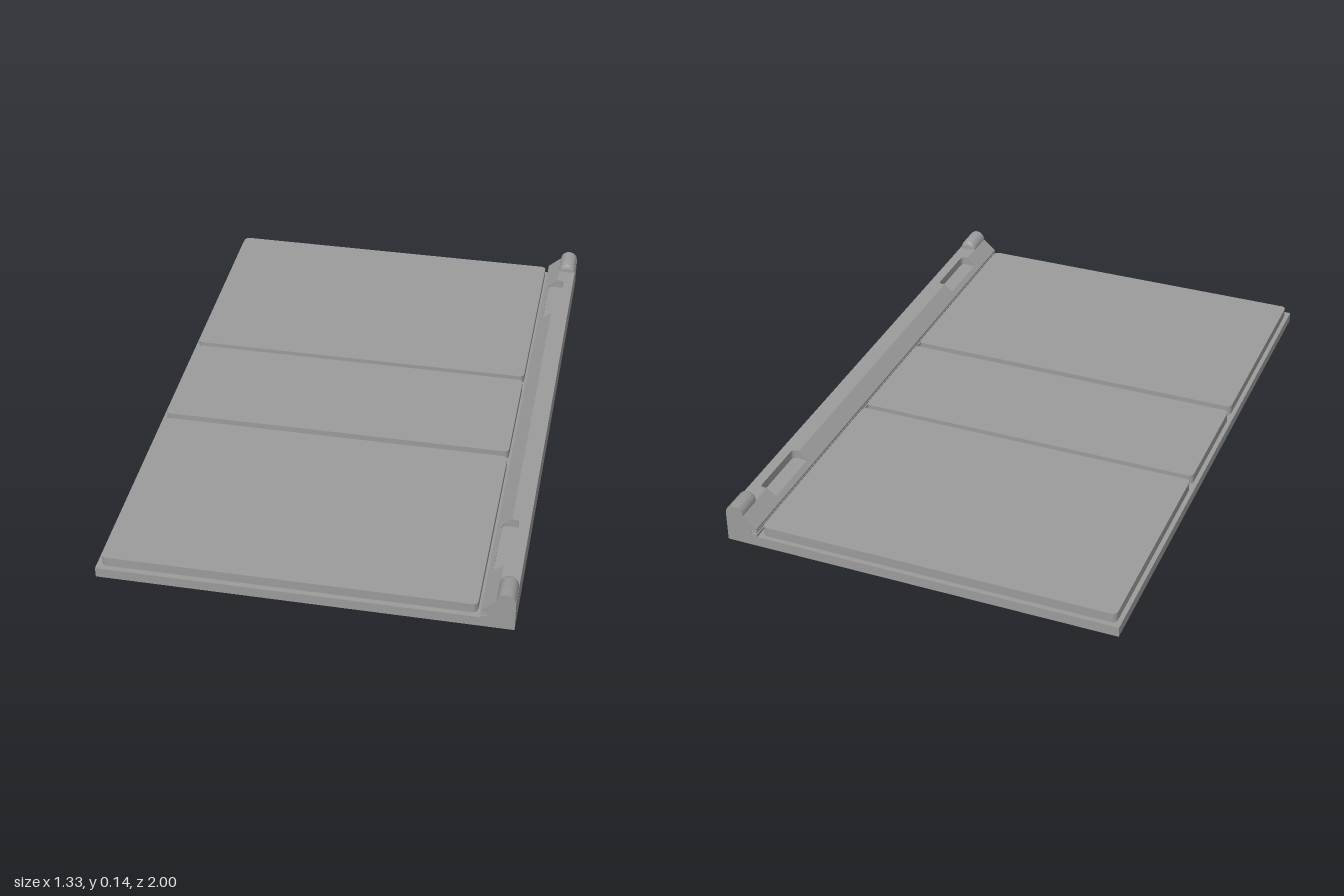
import * as THREE from 'three';
import { toCreasedNormals } from 'three/addons/utils/BufferGeometryUtils.js';

const FLOOR = 0.062, EDGE = 0.607, FRONT = 0.56, BACK = 0.667, RIDGE = 0.107;
const POCKET_FRONT = 0.576, POCKET_BACK = 0.631;
const material = new THREE.MeshStandardMaterial({ color: 0x9b9b9b });

function add(group, name, geometry) {
  const mesh = new THREE.Mesh(toCreasedNormals(geometry, 0.6), material);
  mesh.name = name;
  group.add(mesh);
}

// Extrudes a plan drawn in (x, -z) upward from y0
function extrudeUp(shape, y0, height) {
  return new THREE.ExtrudeGeometry(shape, { depth: height, bevelEnabled: false, curveSegments: 6 })
    .rotateX(-Math.PI / 2).translate(0, y0, 0);
}

function roundedRect(x0, x1, z0, z1, r) {
  const s = new THREE.Shape();
  s.absarc(x1 - r, -z0 - r, r, 0, Math.PI / 2);
  s.absarc(x0 + r, -z0 - r, r, Math.PI / 2, Math.PI);
  s.absarc(x0 + r, -z1 + r, r, Math.PI, Math.PI * 1.5);
  s.absarc(x1 - r, -z1 + r, r, Math.PI * 1.5, Math.PI * 2);
  s.closePath();
  return s;
}

// Plan of one half of the rail, with rounded notches opening onto the ridge edge
function railPlan(outerX, pocketX, pockets) {
  const s = new THREE.Shape(), dir = Math.sign(pocketX - EDGE), r = 0.014;
  s.moveTo(outerX, -1);
  s.lineTo(EDGE, -1);
  for (const [a, b] of pockets) {
    s.lineTo(EDGE, a);
    s.lineTo(pocketX - dir * r, a);
    s.quadraticCurveTo(pocketX, a, pocketX, a + r);
    s.lineTo(pocketX, b - r);
    s.quadraticCurveTo(pocketX, b, pocketX - dir * r, b);
    s.lineTo(EDGE, b);
  }
  s.lineTo(EDGE, 1);
  s.lineTo(outerX, 1);
  s.closePath();
  return s;
}

export function createModel() {
  const model = new THREE.Group();

  // Base plate and lower rail with the groove under its lip
  const profile = new THREE.Shape([
    [-0.667, 0], [BACK, 0], [BACK, FLOOR], [FRONT, FLOOR], [FRONT, 0.059], [0.58, 0.059],
    [0.58, 0.056], [FRONT, 0.056], [FRONT, 0.05], [0.58, 0.05], [0.58, 0.044],
    [FRONT, 0.044], [FRONT, 0.035], [-0.667, 0.035],
  ].map(p => new THREE.Vector2(...p)));
  add(model, 'basePlate',
    new THREE.ExtrudeGeometry(profile, { depth: 2, bevelEnabled: false }).translate(0, 0, -1));

  // Three raised panels
  for (const [z0, z1] of [[-0.984, -0.237], [-0.216, 0.208], [0.234, 0.982]]) {
    add(model, 'panel', extrudeUp(roundedRect(-0.652, 0.549, z0, z1, 0.018), 0.035, 0.033));
  }

  // Upper rail: sloped front half and flat back half, with two pockets
  const pockets = [[-0.832, -0.605], [0.61, 0.836]];
  const slope = extrudeUp(railPlan(FRONT, POCKET_FRONT, pockets), FLOOR, 0.04);
  const pos = slope.attributes.position;
  for (let i = 0; i < pos.count; i++) {
    if (pos.getY(i) > FLOOR + 0.01) {
      const t = (pos.getX(i) - FRONT) / (EDGE - FRONT);
      pos.setY(i, 0.066 + t * (RIDGE - 0.066));
    }
  }
  add(model, 'railSlope', slope);
  add(model, 'railRidge', extrudeUp(railPlan(BACK, POCKET_BACK, pockets), FLOOR, RIDGE - FLOOR));

  // Shallow floors of the pockets
  for (const [a, b] of pockets) {
    add(model, 'pocketFloor',
      extrudeUp(roundedRect(POCKET_FRONT, POCKET_BACK, -b, -a, 0.01), FLOOR, 0.014));
  }

  // Rounded stops at both ends of the rail
  const r = 0.03, f = 0.016, length = 0.1;
  const points = [new THREE.Vector2(0, 0)];
  for (let i = 0; i <= 6; i++) {
    const a = (i / 6) * Math.PI / 2;
    points.push(new THREE.Vector2(r - f + f * Math.sin(a), f - f * Math.cos(a)));
  }
  points.push(new THREE.Vector2(r, length), new THREE.Vector2(0, length));
  for (const side of [-1, 1]) {
    add(model, 'endStop', new THREE.LatheGeometry(points, 32)
      .rotateX(side * Math.PI / 2).translate(0.636, RIDGE, side * (1 - length)));
  }
  return model;
}
